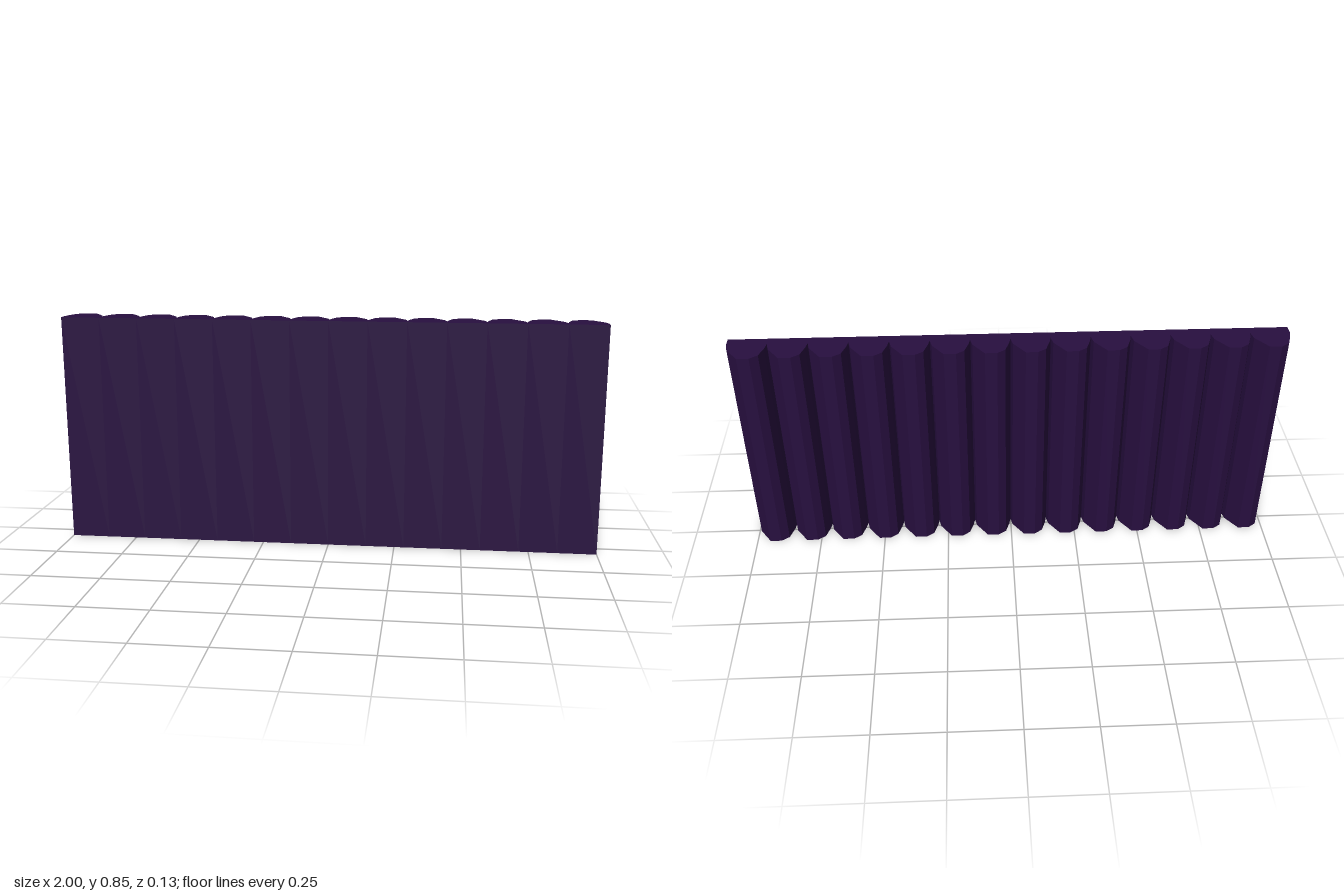
import * as THREE from 'three';

export function createModel() {
  const group = new THREE.Group();
  group.name = 'slattedPanel';
  const purple = new THREE.MeshStandardMaterial({ color: 0x280f40 });
  purple.name = 'darkPurple';

  const count = 14, width = 2 / count, height = 0.853, half = 0.064;

  // Slat outline seen from above: [x from left edge, z], flat front and faceted back
  const outline = [
    [0, half], [0, 0.03], [0.006, 0], [0.021, -0.044], [0.05, -half],
    [0.093, -half], [0.136, -0.005], [width, 0.025], [width, half],
  ];
  // Shape y becomes -z once the extrusion is stood upright
  const shape = new THREE.Shape(outline.map(([x, z]) => new THREE.Vector2(x, -z)));
  const slatGeometry = new THREE.ExtrudeGeometry(shape, { depth: height, bevelEnabled: false });
  slatGeometry.rotateX(-Math.PI / 2);

  // Row of identical slats
  for (let i = 0; i < count; i++) {
    const slat = new THREE.Mesh(slatGeometry, purple);
    slat.name = `slat${i + 1}`;
    slat.position.x = -1 + i * width;
    group.add(slat);
  }
  return group;
}
